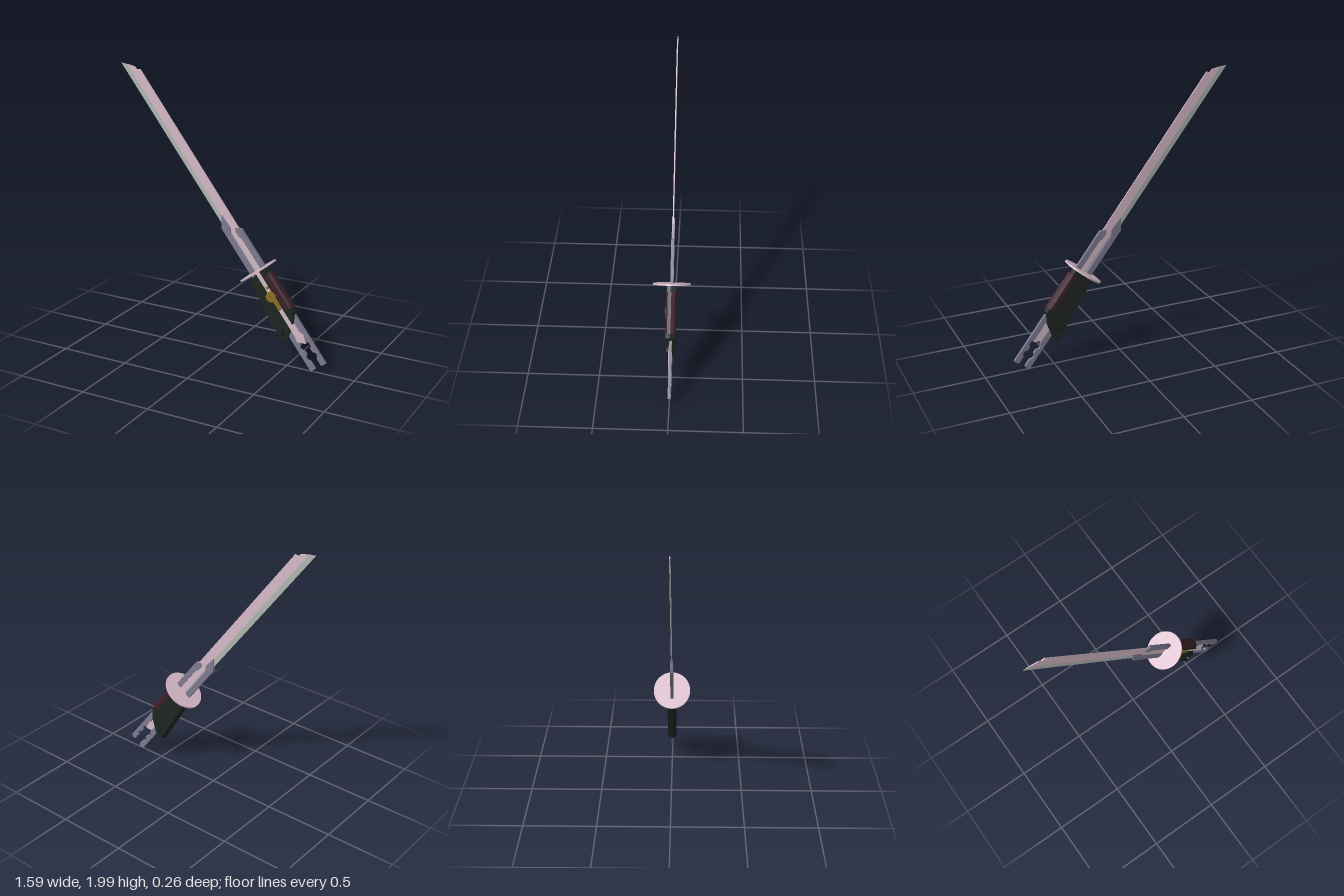
import * as THREE from 'three';

const PINK = 0xd6b9c8, STEEL = 0xb4bab4, SLATE = 0x7d7a90, BLACK = 0x1d2520, MAROON = 0x3c1f29, GOLD = 0x8c7024;

function makeMesh(name, geometry, color) {
  const mesh = new THREE.Mesh(geometry, new THREE.MeshStandardMaterial({ color, flatShading: true }));
  mesh.name = name;
  return mesh;
}

const toPoints = (list) => list.map(([x, y]) => new THREE.Vector2(x, y));

// Flat outline extruded between two z depths
function plate(points, z0, z1, holes = []) {
  const shape = new THREE.Shape(toPoints(points));
  for (const h of holes) shape.holes.push(new THREE.Path(toPoints(h)));
  const geo = new THREE.ExtrudeGeometry(shape, { depth: z1 - z0, bevelEnabled: false });
  geo.translate(0, 0, z0);
  return geo;
}

// Narrow one face of a plate in x so its flanks slope
function taper(geo, zFace, factor) {
  const p = geo.attributes.position;
  for (let i = 0; i < p.count; i++) {
    if (Math.abs(p.getZ(i) - zFace) < 1e-4) p.setX(i, p.getX(i) * factor);
  }
  geo.computeVertexNormals();
  return geo;
}

// Long rail; scalloped notches are cut in the inner edge near its end
function rail(inner, outer, top) {
  const points = [...top, [outer, -0.772], [inner, -0.77]];
  const dir = Math.sign(outer - inner);
  for (const y of [-0.685, -0.605]) {
    for (let i = 0; i <= 4; i++) {
      const a = (i / 4) * Math.PI;
      points.push([inner + dir * 0.018 * Math.sin(a), y - 0.024 * Math.cos(a)]);
    }
  }
  return plate(points, -0.01, 0.01);
}

export function createModel() {
  const root = new THREE.Group();
  root.name = 'sword';

  // Sword built upright with the guard at its origin, then leaned over
  const sword = new THREE.Group();
  sword.name = 'leaningSword';
  sword.position.set(0.274, 0.662, 0);
  sword.rotation.z = 0.646;
  root.add(sword);
  const add = (name, geo, color) => {
    const mesh = makeMesh(name, geo, color);
    sword.add(mesh);
    return mesh;
  };

  // Blade body, with the tang running through the grip
  add('blade', plate([
    [-0.014, 0], [0.05, 0], [0.053, 1.59], [0.029, 1.601], [0.027, 1.626], [-0.014, 1.671],
  ], -0.004, 0.004), PINK);
  add('tang', plate([
    [-0.024, 0], [-0.024, -0.52], [-0.034, -0.55], [0.018, -0.59], [0.044, -0.53],
    [0.024, -0.5], [0.024, 0],
  ], -0.004, 0.014), PINK);

  // Cutting edge thinning to a line
  const edge = plate([[-0.048, 0], [-0.014, 0], [-0.014, 1.671], [-0.05, 1.707]], -0.004, 0.004);
  const p = edge.attributes.position;
  for (let i = 0; i < p.count; i++) if (p.getX(i) < -0.03) p.setZ(i, p.getZ(i) * 0.2);
  edge.computeVertexNormals();
  add('cuttingEdge', edge, STEEL);

  // Pair of rails either side of the blade
  add('edgeRail', rail(-0.026, -0.067, [
    [-0.026, 0.31], [-0.003, 0.347], [-0.01, 0.452], [-0.067, 0.376],
  ]), SLATE);
  add('spineRail', rail(0.028, 0.067, [
    [0.028, 0.24], [0.015, 0.265], [0.015, 0.305], [0.03, 0.329], [0.063, 0.303], [0.067, 0.295],
  ]), SLATE);

  // Oval guard
  const guard = add('guard', new THREE.CylinderGeometry(1, 1, 0.012, 48), PINK);
  guard.scale.set(0.146, 1, 0.13);
  guard.material.flatShading = false;

  // Grip: closed back, front split by a slot that shows the tang
  const hole = [[-0.084, -0.42], [-0.118, -0.478], [-0.088, -0.476]];
  add('gripBack', taper(plate([
    [-0.093, -0.03], [-0.139, -0.491], [-0.118, -0.503], [-0.081, -0.5], [0.026, -0.43],
    [0.085, -0.362], [0.088, -0.32], [0.076, -0.005],
  ], -0.032, 0.005, [hole]), -0.032, 0.88), BLACK);
  add('gripFrontEdgeSide', taper(plate([
    [-0.093, -0.03], [-0.139, -0.491], [-0.118, -0.503], [-0.081, -0.5], [-0.025, -0.463],
    [-0.025, -0.018],
  ], 0.005, 0.032, [hole]), 0.032, 0.88), BLACK);
  add('gripFrontSpineSide', taper(plate([
    [0.024, -0.01], [0.024, -0.43], [0.085, -0.362], [0.088, -0.32], [0.076, -0.005],
  ], 0.005, 0.032), 0.032, 0.88), BLACK);

  // Rounded spine cover on the grip
  const profile = new THREE.Shape(toPoints([
    [0.038, -0.036], [0.07, -0.036], [0.086, -0.024], [0.092, 0],
    [0.086, 0.024], [0.07, 0.036], [0.038, 0.036],
  ]));
  const cover = new THREE.ExtrudeGeometry(profile, { depth: 0.28, bevelEnabled: false });
  cover.rotateX(Math.PI / 2);
  cover.translate(0, -0.05, 0);
  add('spineCover', cover, MAROON);

  // Gold latch: ring, tail and rivet on the front
  const ring = new THREE.Shape().absarc(0, 0, 0.037, 0, Math.PI * 2);
  ring.holes.push(new THREE.Path().absarc(0, 0, 0.009, 0, Math.PI * 2, true));
  const ringGeo = new THREE.ExtrudeGeometry(ring, { depth: 0.032, bevelEnabled: false, curveSegments: 20 });
  ringGeo.translate(-0.003, -0.197, 0.01);
  add('latchRing', ringGeo, GOLD);
  add('latchTail', plate([
    [-0.008, -0.22], [-0.012, -0.308], [0.022, -0.29], [0.026, -0.22],
  ], 0.01, 0.036), GOLD);
  const rivet = new THREE.CylinderGeometry(0.01, 0.01, 0.02, 12);
  rivet.rotateX(Math.PI / 2);
  rivet.translate(0, -0.132, 0.016);
  add('rivet', rivet, GOLD);

  return root;
}
